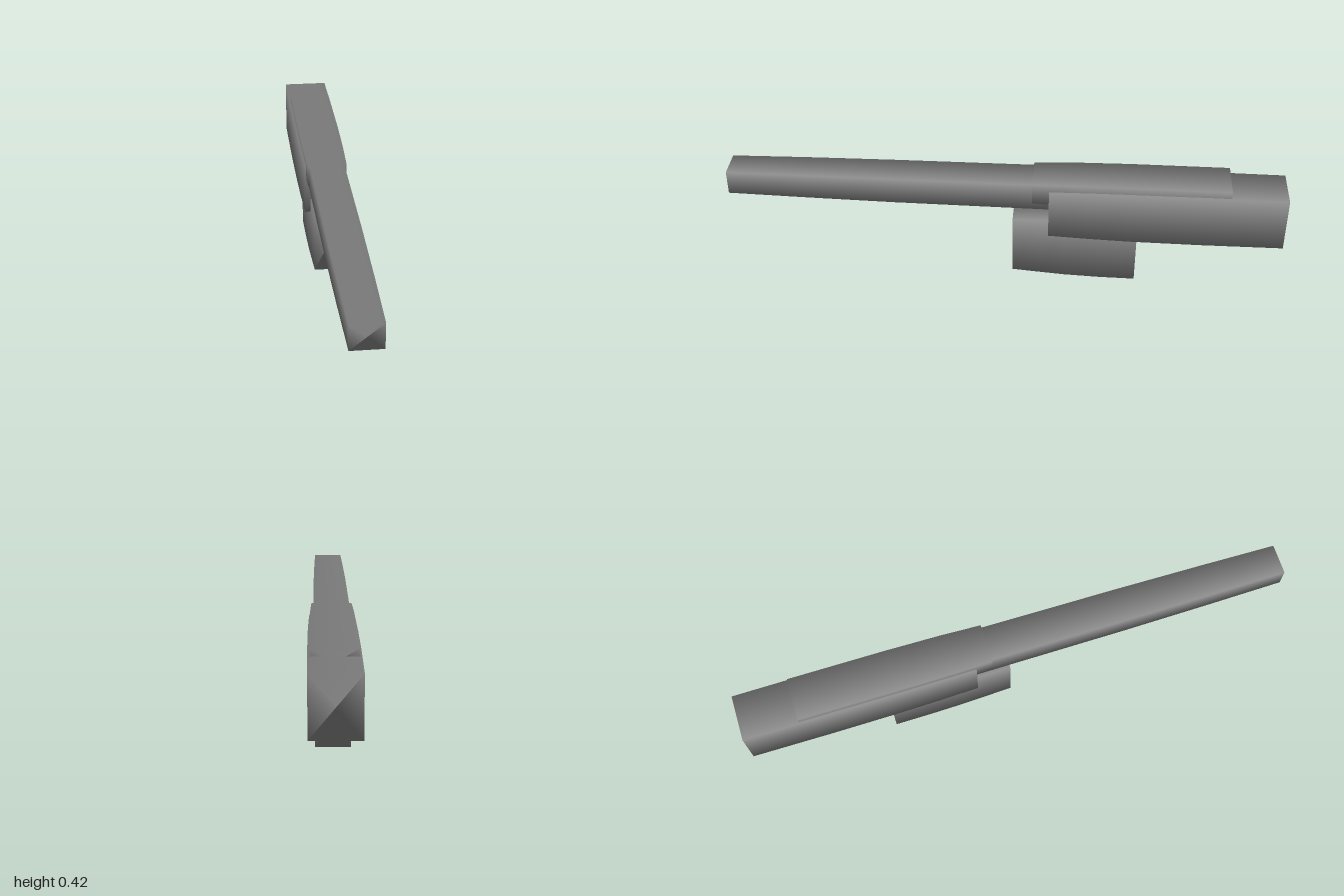
import * as THREE from 'three';

const CORNERS = [[1, 1], [-1, 1], [-1, -1], [1, -1]];

// Rectangular loft along z, shaded round its axis. Each section: [z, half width, bottom, top], front to back.
function loft(name, sections) {
  // Collapsed rings at both ends close the loft
  const collapse = ([z, , b, t]) => [z, 0, (b + t) / 2, (b + t) / 2];
  const rings = [collapse(sections[0]), ...sections, collapse(sections[sections.length - 1])];
  const pos = [], normals = [], idx = [];
  rings.forEach(([z, w, b, t], i) => {
    CORNERS.forEach(([sx, sy], j) => {
      pos.push(sx * w, sy > 0 ? t : b, z);
      normals.push(sx * Math.SQRT1_2, sy * Math.SQRT1_2, 0);
      if (i === rings.length - 1) return;
      const a = i * 4 + j, p = i * 4 + (j + 1) % 4;
      // Leave out the zero-area half of each end quad
      if (i < rings.length - 2) idx.push(a, a + 4, p + 4);
      if (i > 0) idx.push(a, p + 4, p);
    });
  });
  const geo = new THREE.BufferGeometry();
  geo.setAttribute('position', new THREE.Float32BufferAttribute(pos, 3));
  geo.setAttribute('normal', new THREE.Float32BufferAttribute(normals, 3));
  geo.setIndex(idx);
  const mesh = new THREE.Mesh(geo, new THREE.MeshStandardMaterial({ color: 0x888888 }));
  mesh.name = name;
  return mesh;
}

export function createModel() {
  const model = new THREE.Group();
  model.name = 'model';

  // Long tapering barrel, its rear end buried in the body
  model.add(loft('barrel', [
    [1, 0.055, 0.311, 0.4],
    [0.72, 0.059, 0.308, 0.403],
    [0.4, 0.062, 0.305, 0.405],
    [0.1, 0.063, 0.304, 0.406],
    [-0.2, 0.064, 0.303, 0.407],
  ]));

  // Main body
  model.add(loft('body', [
    [-0.16, 0.078, 0.196, 0.385],
    [-0.3, 0.081, 0.192, 0.389],
    [-0.45, 0.083, 0.189, 0.391],
    [-0.7, 0.084, 0.188, 0.392],
    [-1, 0.083, 0.189, 0.391],
  ]));

  // Raised cover on top of the body
  model.add(loft('topCover', [
    [-0.1, 0.071, 0.332, 0.412],
    [-0.25, 0.075, 0.328, 0.416],
    [-0.45, 0.077, 0.327, 0.418],
    [-0.8, 0.077, 0.327, 0.418],
  ]));

  // Lower block hanging below the body, with a curved underside
  model.add(loft('lowerBlock', [
    [-0.03, 0.055, 0.017, 0.244],
    [-0.12, 0.057, 0.011, 0.248],
    [-0.22, 0.059, 0.005, 0.251],
    [-0.35, 0.06, 0.001, 0.253],
    [-0.48, 0.06, 0, 0.253],
  ]));

  return model;
}
